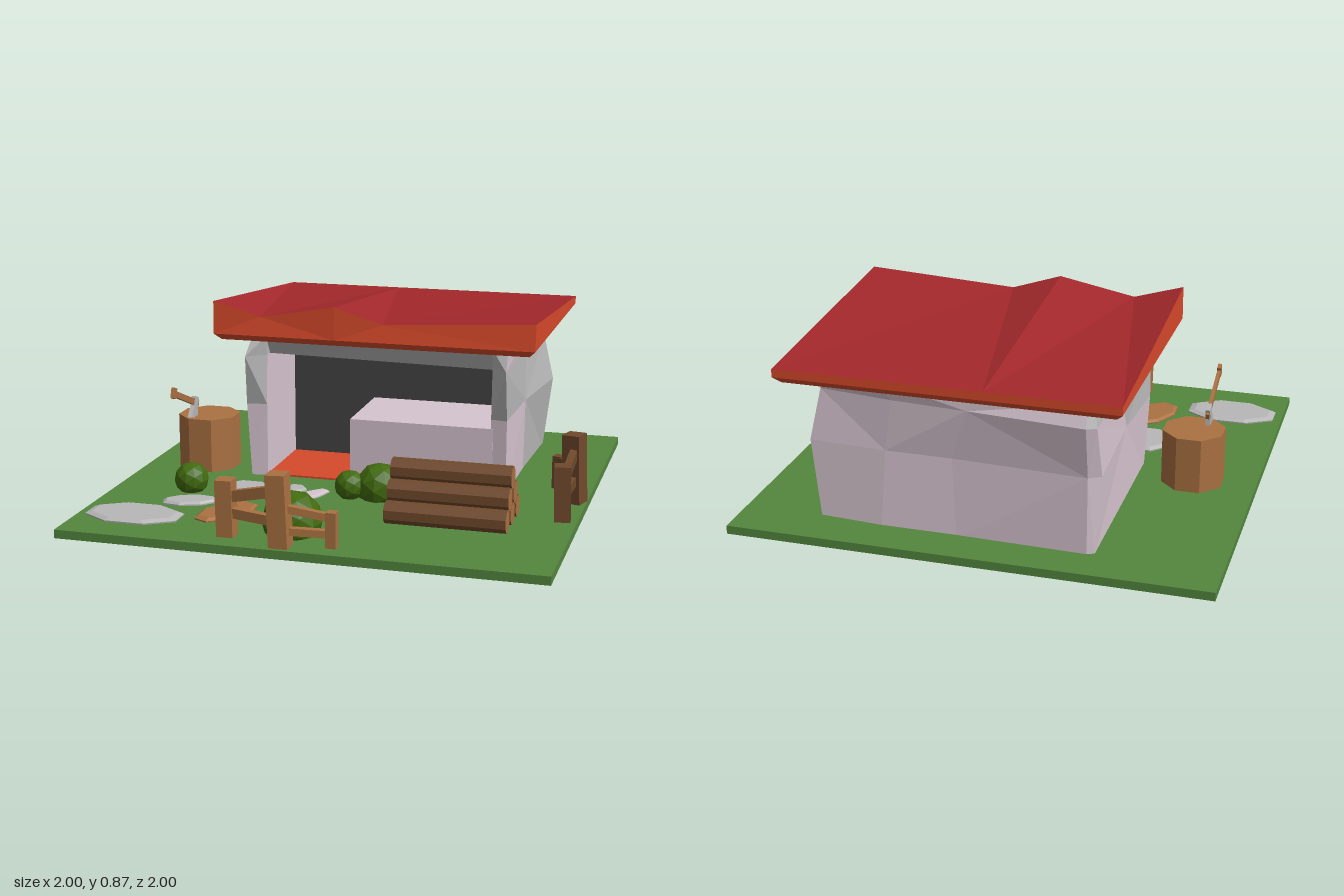
import * as THREE from 'three';

const mat = (name, color) => {
  const m = new THREE.MeshStandardMaterial({ color });
  m.name = name;
  m.flatShading = true;
  return m;
};

export function createModel() {
  const model = new THREE.Group();
  model.name = 'marketCottage';
  const grass = mat('grass green', 0x54873f), red = mat('roof red', 0xa3282b), orange = mat('roof edge orange', 0xd6492b);
  const pink = mat('pale pink plaster', 0xd6c4cf), grey = mat('stone grey', 0xb7b7b7), dark = mat('charcoal', 0x434343);
  const wood = mat('light wood', 0xaa7142), brown = mat('dark wood', 0x70492c), leaf = mat('leaf green', 0x416a0e);
  const mustard = mat('mustard yellow', 0xd9a400);

  const add = (name, geo, material, x = 0, y = 0, z = 0, parent = model) => {
    const m = new THREE.Mesh(geo, material);
    m.name = name;
    m.position.set(x, y, z);
    parent.add(m);
    return m;
  };
  const box = (name, material, x0, x1, y0, y1, z0, z1) =>
    add(name, new THREE.BoxGeometry(x1 - x0, y1 - y0, z1 - z0), material, (x0 + x1) / 2, (y0 + y1) / 2, (z0 + z1) / 2);

  // Faceted skin between rows of points; keep() picks which cells to build
  const skin = (rows, closed, keep = () => true) => {
    const p = [];
    for (let r = 0; r < rows.length - 1; r++) {
      const n = rows[r].length;
      for (let i = 0; i < (closed ? n : n - 1); i++) {
        if (!keep(r, i)) continue;
        const j = (i + 1) % n;
        const a = rows[r][i], b = rows[r][j], c = rows[r + 1][j], d = rows[r + 1][i];
        p.push(...((r + i) % 2 ? [a, b, c, a, c, d] : [a, b, d, b, c, d]).flat());
      }
    }
    const g = new THREE.BufferGeometry();
    g.setAttribute('position', new THREE.Float32BufferAttribute(p, 3));
    g.computeVertexNormals();
    return g;
  };

  // Ground slab
  box('ground', grass, -1, 1, 0.04, 0.076, -1, 1);

  // Uneven plaster walls: U-shaped outline at four heights (x, z pairs, outside then inside)
  const inner = [[-0.42, -0.38], [-0.42, -0.77], [0.58, -0.74], [0.58, -0.38]];
  const outline = [
    [0.06, [[0.58, 0.05], [0.65, 0.06], [0.65, -0.36], [0.665, -0.8], [0.4, -0.82], [0.08, -0.82], [-0.46, -0.835], [-0.49, -0.82], [-0.49, -0.38], [-0.49, 0.06], [-0.42, 0.05]]],
    [0.4, [[0.58, 0.05], [0.65, 0.06], [0.66, -0.33], [0.71, -0.78], [0.38, -0.8], [0.1, -0.8], [-0.46, -0.83], [-0.51, -0.8], [-0.49, -0.3], [-0.51, 0.06], [-0.42, 0.05]]],
    [0.62, [[0.58, 0.04], [0.65, 0.105], [0.64, -0.42], [0.665, -0.757], [0.35, -0.8], [0.03, -0.825], [-0.46, -0.87], [-0.5, -0.85], [-0.49, -0.42], [-0.5, 0.105], [-0.42, 0.04]]],
    [0.705, [[0.58, 0.05], [0.65, 0.06], [0.65, -0.38], [0.65, -0.8], [0.4, -0.815], [0.08, -0.82], [-0.46, -0.83], [-0.48, -0.82], [-0.48, -0.38], [-0.48, 0.06], [-0.42, 0.05]]],
  ];
  const wallRows = outline.map(([y, pts]) => [...pts, ...inner].map(([x, z]) => [x, y, z]));
  const isPink = (r, i) => {
    if (i >= 12 || i === 2) return false;      // inside back and right, right side back half
    if (i === 1) return r !== 1;               // right side, front half
    if (i >= 3 && i <= 5) return true;         // back wall
    if (i === 0 || i === 8 || i === 9) return r === 0;
    return r < 2;
  };
  add('plasterWalls', skin(wallRows, true, isPink), pink);
  add('greyWallFacets', skin(wallRows, true, (r, i) => !isPink(r, i)), grey);
  box('rightWallFooting', grey, 0.6, 0.64, 0.036, 0.07, -0.79, 0.05);

  // Recessed lintel over the opening
  const lintel = [[-0.42, 0.62], [0.58, 0.605]].map(([x, y]) =>
    [[x, 0.705, 0.055], [x, y, 0], [x, y, -0.04], [x, 0.705, -0.02]]);
  add('lintel', skin(lintel, true), grey);

  // Interior
  box('innerPanel', dark, -0.43, 0.58, 0.036, 0.55, -0.41, -0.35);
  box('counter', pink, -0.04, 0.59, 0.06, 0.36, -0.35, 0.055);
  box('counterFooting', pink, -0.045, -0.03, 0.036, 0.07, -0.5, -0.12);
  box('entranceFloor', orange, -0.42, -0.04, 0.07, 0.084, -0.35, 0.05);

  // Roof: wavy front edge flattening toward the back, bevelled eaves
  const crest = [[-0.62, 0.87], [-0.41, 0.81], [-0.08, 0.87], [0.13, 0.803], [0.78, 0.84]];
  const front = crest.map(([x, y]) => [x, y, y > 0.85 ? 0.16 : 0.15]);
  const back = crest.map(([x]) => [x, 0.762, -0.955]);
  const rim = (y, inset) => {
    const xs = crest.map(([x]) => Math.min(0.78 - inset, Math.max(-0.62 + inset, x)));
    return [...xs.map((x) => [x, y, 0.165 - inset]), ...xs.reverse().map((x) => [x, y, -0.955 + inset])];
  };
  add('roofEdge', skin([rim(0.7, 0.028), rim(0.728, 0), [...front, ...[...back].reverse()]], true), orange);
  add('roofTop', skin([front, back], false), red);
  add('roofUnderside', new THREE.PlaneGeometry(1.344, 1.064), orange, 0.08, 0.7, -0.395).rotation.x = Math.PI / 2;

  // Chopping stump with axe
  const prism = (r, h) => new THREE.CylinderGeometry(r, r, h, 8).rotateY(Math.PI / 8);
  add('stump', prism(0.137, 0.281), [wood, wood, dark], -0.727, 0.1745, -0.045);
  const axe = new THREE.Group();
  axe.name = 'axe';
  axe.position.set(-0.775, 0.37, 0.0);
  axe.rotation.x = -0.38;
  model.add(axe);
  add('axeHandle', new THREE.BoxGeometry(0.015, 0.026, 0.3), wood, 0, 0, 0.13, axe);
  add('axeHandleEnd', new THREE.BoxGeometry(0.016, 0.046, 0.03), wood, 0, 0.002, 0.275, axe);
  const blade = new THREE.Shape([[-0.022, 0.025], [-0.018, -0.02], [-0.04, -0.065], [0.04, -0.075], [0.022, -0.02], [0.022, 0.025]]
    .map(([x, y]) => new THREE.Vector2(x, y)));
  add('axeHead', new THREE.ExtrudeGeometry(blade, { depth: 0.02, bevelEnabled: false }).translate(0, 0, -0.01).rotateY(-Math.PI / 2),
    grey, 0, 0, 0.015, axe);

  // Fences: three posts joined by sloping rails
  const rail = (a, b, w, material, parent) => {
    const A = new THREE.Vector3(...a), B = new THREE.Vector3(...b);
    const m = add('rail', new THREE.BoxGeometry(0.03, w, A.distanceTo(B)), material, 0, 0, 0, parent);
    m.position.copy(A).add(B).multiplyScalar(0.5);
    m.lookAt(B);
  };
  const fence = (name, posts, material, turn) => {
    const g = new THREE.Group();
    g.name = name;
    model.add(g);
    const size = [[0.068, 0.308, 0.02], [0.078, 0.37, 0.04], [0.042, 0.22, 0]];
    posts.forEach(([x, z], i) => {
      const [w, top, lean] = size[i];
      const post = add('post', new THREE.BoxGeometry(w, top - 0.037, w), material, x, (top + 0.037) / 2, z, g);
      post.rotation.set(0, i === 0 ? turn / 2 : -turn, lean);
    });
    const [a, b, c] = posts;
    const join = (p, q, y0, y1, w) => rail([p[0], y0, p[1]], [q[0], y1, q[1]], w, material, g);
    join(a, b, 0.235, 0.3, 0.045);
    join(a, b, 0.175, 0.175, 0.04);
    join(b, c, 0.235, 0.195, 0.03);
    join(b, c, 0.14, 0.13, 0.03);
  };
  fence('frontFence', [[-0.312, 0.875], [-0.07, 0.945], [0.13, 0.905]], wood, 0);
  fence('sideFence', [[0.935, 0.335], [0.945, 0.075], [0.85, -0.105]], brown, 0.3);

  // Log pile
  for (let row = 0; row < 3; row++) {
    for (let k = 0; k < 3 - row; k++) {
      const z = 0.545 - row * 0.055 - k * 0.112;
      const log = add('log', prism(0.048, 0.5), [brown, wood, wood], 0.5, 0.118 + row * 0.076, z);
      log.rotation.z = Math.PI / 2;
      if (row === 0) box('logBed', brown, 0.26, 0.74, 0.036, 0.08, z - 0.017, z + 0.017);
    }
  }

  // Round bushes
  for (const [x, y, z, r] of [[-0.075, 0.124, 0.765, 0.124], [0.14, 0.125, 0.23, 0.101], [0.02, 0.13, 0.27, 0.066], [-0.665, 0.126, 0.348, 0.074]]) {
    add('bush', new THREE.IcosahedronGeometry(r, 1), leaf, x, y, z);
    // Buried foot showing under the slab
    add('bushFoot', new THREE.IcosahedronGeometry(r * 0.65, 1), leaf, x, 0.055, z).scale.y = 0.028 / (r * 0.65);
  }

  // Flat stepping stones, each sunk through the slab with a tinted base
  const stones = [
    [-0.44, 0.31, 0.13, 0.13, 0, grey, mustard], [-0.24, 0.245, 0.06, 0.05, 0.6, grey, grey],
    [-0.158, 0.332, 0.14, 0.035, 1.05, pink, red], [-0.61, 0.513, 0.12, 0.062, 0.35, grey, grey],
    [-0.765, 0.735, 0.215, 0.128, 0, grey, red], [-0.41, 0.61, 0.16, 0.09, 1.1, wood, mustard],
  ];
  for (const [x, z, rx, rz, turn, top, base] of stones) {
    const stone = new THREE.CylinderGeometry(0.86, 1, 0.01, 8).rotateY(Math.PI / 8);
    const lower = new THREE.CylinderGeometry(1, 0.95, 0.046, 8).rotateY(Math.PI / 8);
    const parts = [add('steppingStone', stone, top, x, 0.087, z), add('stoneBase', lower, [top, top, base], x, 0.059, z)];
    parts.forEach((m) => {
      m.scale.set(rx, 1, rz);
      m.rotation.y = turn;
    });
  }

  return model;
}
